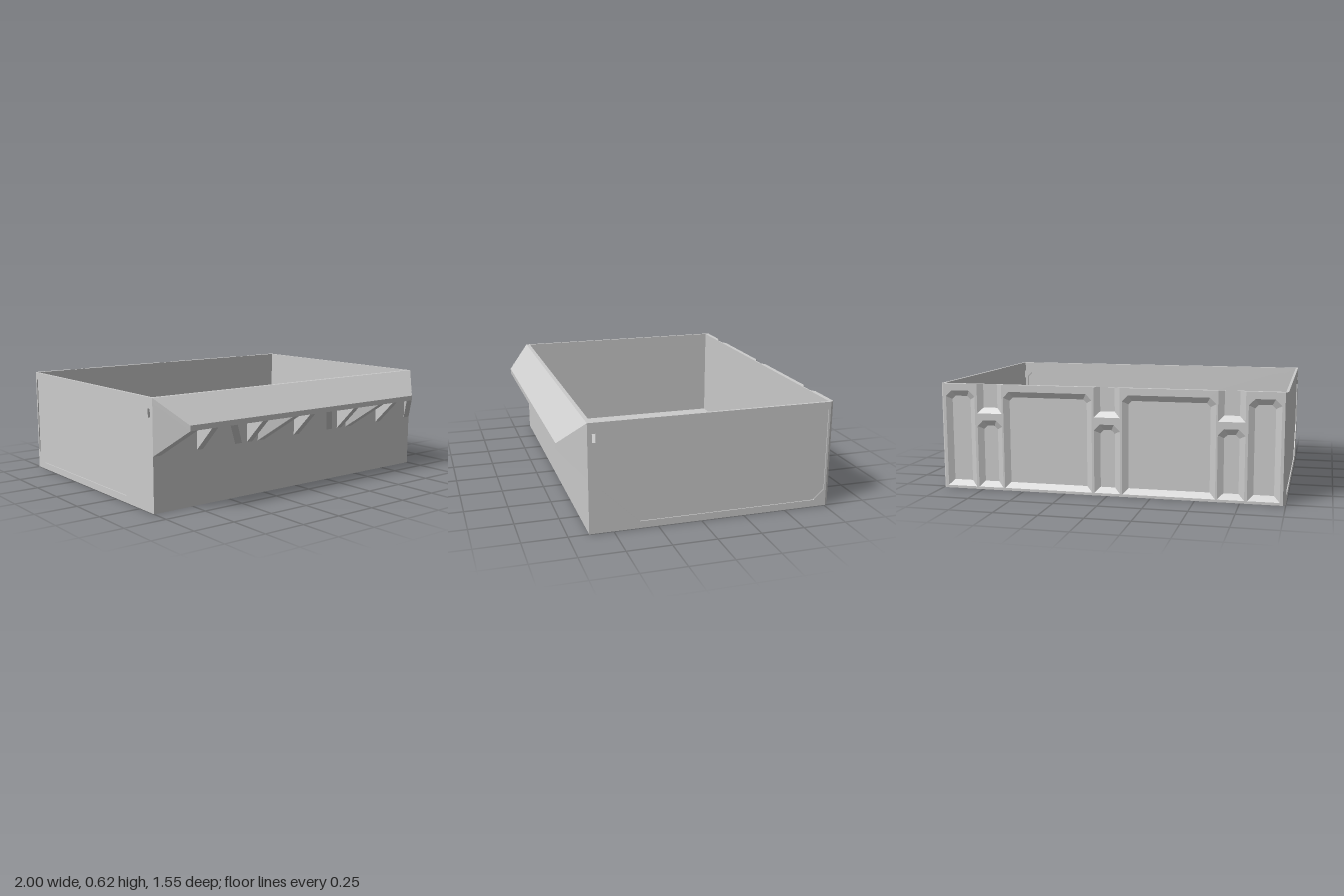
import * as THREE from 'three';

const mat = new THREE.MeshStandardMaterial({ color: 0xcccccc, flatShading: true, side: THREE.DoubleSide });
const H = 0.62, BACK = -0.776, FLOOR = -0.757, FRONT = 0.635, IN = 0.985;
const V = (pts) => pts.map(([x, y]) => new THREE.Vector2(x, y));

function makeShape(pts, holes = []) {
  const s = new THREE.Shape(V(pts));
  holes.forEach((h) => s.holes.push(new THREE.Path(V(h))));
  return s;
}
const rect = (x0, y0, x1, y1) => [[x0, y0], [x1, y0], [x1, y1], [x0, y1]];
// rectangle with its two upper corners cut off
const cutRect = (x0, y0, x1, y1, c) => [[x0, y0], [x1, y0], [x1, y1 - c], [x1 - c, y1], [x0 + c, y1], [x0, y1 - c]];

// outline in (x, y), extruded from z0 to z1
function extrudeZ(pts, holes, z0, z1) {
  return new THREE.ExtrudeGeometry(makeShape(pts, holes), { depth: z1 - z0, bevelEnabled: false }).translate(0, 0, z0);
}
// outline in (z, y), extruded from x0 to x1
function extrudeX(pts, holes, x0, x1) {
  return extrudeZ(pts, holes, 0, x1 - x0).rotateY(-Math.PI / 2).translate(x1, 0, 0);
}
// move x of every vertex by a rule of (x, z)
function bendX(geo, rule) {
  const p = geo.attributes.position;
  for (let i = 0; i < p.count; i++) p.setX(i, rule(p.getX(i), p.getZ(i)));
  geo.computeVertexNormals();
  return geo;
}
// strip of quads between two matching 3D lines
function strip(a, b, closed) {
  const pos = [];
  const n = a.length;
  for (let i = 0; i < (closed ? n : n - 1); i++) {
    const j = (i + 1) % n;
    pos.push(...a[i], ...a[j], ...b[j], ...a[i], ...b[j], ...b[i]);
  }
  const g = new THREE.BufferGeometry();
  g.setAttribute('position', new THREE.Float32BufferAttribute(pos, 3));
  g.computeVertexNormals();
  return g;
}

export function createModel() {
  const root = new THREE.Group();
  const add = (name, geo, parent = root) => {
    const m = new THREE.Mesh(geo, mat);
    m.name = name;
    parent.add(m);
    return m;
  };
  const box = (name, x0, y0, z0, x1, y1, z1) => add(name,
    new THREE.BoxGeometry(x1 - x0, y1 - y0, z1 - z0).translate((x0 + x1) / 2, (y0 + y1) / 2, (z0 + z1) / 2));

  box('base', -IN, 0, -0.749, IN, 0.02, 0.612);

  // side walls: thin sheet with a raised border round a shallow panel, and a small slot
  const sideRect = rect(FLOOR, 0, FRONT, H);
  const slot = rect(0.59, 0.51, 0.61, 0.56);
  const panel = [[0.355, 0.04], [0.56, 0.24], [0.56, 0.515], [0.495, 0.575],
    [-0.745, 0.575], [-0.745, 0.1], [-0.68, 0.04]];
  for (const s of [-1, 1]) {
    const span = (a, b) => (s > 0 ? [a, b] : [-b, -a]);
    add('sideWall', extrudeX(sideRect, [slot], ...span(IN, 0.994)));
    add('sideBorder', extrudeX(sideRect, [panel, slot], ...span(0.994, 1)));
  }

  // front wall with a shallow panel on its inside
  box('frontWall', -IN, 0, 0.62, IN, H, FRONT);
  add('frontInnerBorder', extrudeZ(rect(-IN, 0, IN, H), [cutRect(-0.965, 0.035, 0.965, 0.58, 0.06)], 0.612, 0.62));

  // back wall: sheet, then a frame with bevelled pockets and three notches open at the top
  box('backWall', -IN, 0, FLOOR, IN, H, -0.749);
  const frame = new THREE.Group();
  frame.name = 'backFrame';
  root.add(frame);
  const bevel = 0.033, half = 0.075, notchY = 0.45, cols = [-0.7, 0, 0.7];
  const pockets = [];
  for (const [x0, x1] of [[-0.968, -0.79], [-0.615, -0.088], [0.088, 0.615], [0.79, 0.968]])
    pockets.push([x0, 0.015, x1, 0.58]);
  for (const c of cols) pockets.push([c - half, 0.015, c + half, 0.41]);

  const outline = [[-IN, H], [-IN, 0], [IN, 0], [IN, H]];
  const rim = [[-1, FLOOR], [-IN, BACK]];
  for (const c of [...cols].reverse())
    outline.push([c + half, H], [c + half, notchY], [c - half, notchY], [c - half, H]);
  for (const c of cols)
    rim.push([c - half, BACK], [c - half + bevel, FLOOR], [c + half - bevel, FLOOR], [c + half, BACK]);
  rim.push([IN, BACK], [1, FLOOR]);

  const at = (z) => ([x, y]) => [x, y, z];
  const holes = pockets.map((p) => cutRect(...p, 0.035));
  add('frameFace', new THREE.ShapeGeometry(makeShape(outline, holes)).translate(0, 0, BACK), frame);
  pockets.forEach(([x0, y0, x1, y1], i) => {
    const inner = cutRect(x0 + bevel, y0 + bevel, x1 - bevel, y1 - bevel, 0.02);
    add('pocketBevel', strip(holes[i].map(at(BACK)), inner.map(at(FLOOR)), true), frame);
  });
  for (const c of cols) {
    const w = half - bevel, y = notchY + bevel;
    const outer = [[c - half, H], [c - half, notchY], [c + half, notchY], [c + half, H]];
    const inner = [[c - w, H], [c - w, y], [c + w, y], [c + w, H]];
    add('notchBevel', strip(outer.map(at(BACK)), inner.map(at(FLOOR))), frame);
  }
  const flat = (pts, y) => new THREE.ShapeGeometry(makeShape(pts)).rotateX(Math.PI / 2).translate(0, y, 0);
  add('frameTop', flat(rim, H), frame);
  add('frameBottom', flat([[-1, FLOOR], [-IN, BACK], [IN, BACK], [1, FLOOR]], 0), frame);
  for (const s of [-1, 1])
    add('cornerChamfer', strip([[s, 0, FLOOR], [s, H, FLOOR]], [[s * IN, 0, BACK], [s * IN, H, BACK]]), frame);

  // front lip: sloped sheet that narrows towards its tip
  const lip = new THREE.Group();
  lip.name = 'frontLip';
  root.add(lip);
  const R = 0.14, TIP = FRONT + R;
  add('lipSheet', bendX(
    extrudeX([[FRONT, 0.59], [TIP, 0.45], [TIP, 0.48], [FRONT, H]], [], -1, 1),
    (x, z) => x * (1 - (z - FRONT))), lip);
  add('lipEdge', strip([[-0.888, 0.509, 0.748], [0.888, 0.509, 0.748]],
    [[-0.888, 0.505, 0.752], [0.888, 0.505, 0.752]]), lip);

  // braces below the lip: straight ribs and diagonal end plates of three bays
  const gusset = [[FRONT, 0.31], [TIP, 0.45], [TIP, 0.455], [FRONT, 0.595]];
  for (const x of [-0.7, -0.355, 0, 0.355, 0.7])
    add('lipRib', extrudeX(gusset, [], x - 0.02, x + 0.02), lip);
  for (const [x0, x1] of [[-1, -0.41], [-0.295, 0.295], [0.41, 1]]) {
    add('bayEndPlate', bendX(extrudeX(gusset, [], x0, x0 + 0.048), (x, z) => x + (z - FRONT)), lip);
    add('bayEndPlate', bendX(extrudeX(gusset, [], x1 - 0.048, x1), (x, z) => x - (z - FRONT)), lip);
  }
  return root;
}
